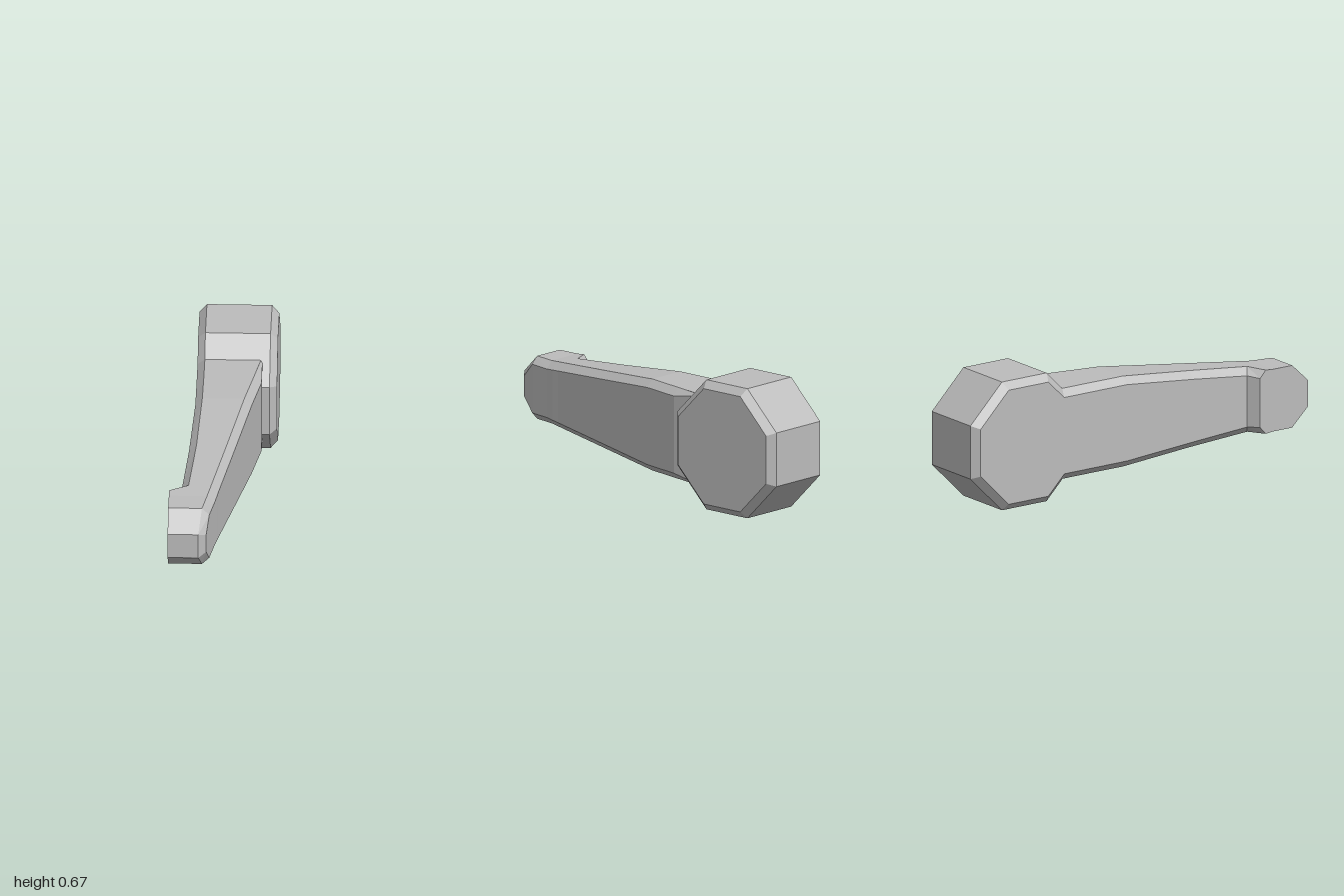
import * as THREE from 'three';

const MID = 0.337; // height of the horizontal mirror plane

// Arm stations from tip to hub. Each lists the upper half of a section as
// [x, z, half height]: inner face, inner ridge, outer ridge, outer face.
const STATIONS = [
  [[-0.257, 1, 0.068], [-0.257, 1, 0.068], [-0.103, 1, 0.068], [-0.064, 0.97, 0.05]],
  [[-0.257, 0.9, 0.163], [-0.257, 0.9, 0.163], [-0.087, 0.9, 0.163], [-0.05, 0.9, 0.126]],
  [[-0.257, 0.78, 0.163], [-0.257, 0.78, 0.163], [-0.065, 0.78, 0.163], [-0.027, 0.78, 0.126]],
  [[-0.257, 0.7, 0.128], [-0.257, 0.735, 0.167], [-0.056, 0.735, 0.167], [-0.018, 0.735, 0.13]],
  [[-0.195, 0.665, 0.134], [-0.16, 0.69, 0.171], [-0.047, 0.69, 0.171], [-0.01, 0.69, 0.134]],
  [[-0.168, 0.35, 0.164], [-0.13, 0.35, 0.201], [0.021, 0.35, 0.201], [0.058, 0.35, 0.164]],
  [[-0.147, -0.05, 0.2], [-0.112, -0.05, 0.237], [0.099, -0.05, 0.237], [0.137, -0.05, 0.2]],
  [[-0.147, -0.27, 0.2], [-0.11, -0.27, 0.237], [0.142, -0.27, 0.237], [0.18, -0.27, 0.2]],
  [[-0.147, -0.47, 0.2], [-0.11, -0.47, 0.237], [0.18, -0.47, 0.237], [0.18, -0.47, 0.236]],
];

// Skins the mirrored stations and closes both ends
function armGeometry() {
  const rings = STATIONS.map((half) => [
    ...half.map(([x, z, h]) => [x, MID + h, z]),
    ...half.map(([x, z, h]) => [x, MID - h, z]).reverse(),
  ]);
  const out = [];
  const quad = (a, b, c, d) => out.push(...a, ...b, ...c, ...a, ...c, ...d);
  for (let s = 0; s < rings.length - 1; s++) {
    for (let i = 0; i < 8; i++) {
      const j = (i + 1) % 8;
      quad(rings[s][i], rings[s][j], rings[s + 1][j], rings[s + 1][i]);
    }
  }
  const tip = rings[0];
  const root = rings[rings.length - 1];
  for (let i = 0; i < 3; i++) {
    quad(tip[7 - i], tip[6 - i], tip[i + 1], tip[i]);
    quad(root[i], root[i + 1], root[6 - i], root[7 - i]);
  }
  const geometry = new THREE.BufferGeometry();
  geometry.setAttribute('position', new THREE.Float32BufferAttribute(out, 3));
  geometry.computeVertexNormals();
  return geometry;
}

// Octagonal drum lying along x, chamfered at both ends
function hubGeometry() {
  const k = Math.cos(Math.PI / 8);
  const profile = [
    [0, -0.147], [0.299, -0.147], [0.336, -0.11],
    [0.336, 0.218], [0.299, 0.255], [0, 0.255],
  ].map(([r, y]) => new THREE.Vector2(r / k, y));
  const geometry = new THREE.LatheGeometry(profile, 8, Math.PI / 8).toNonIndexed();
  geometry.rotateZ(-Math.PI / 2);
  geometry.computeVertexNormals();
  return geometry;
}

export function createModel() {
  const group = new THREE.Group();
  group.name = 'crankArm';
  const grey = new THREE.MeshStandardMaterial({ color: 0xbcbcbc, flatShading: true });
  grey.name = 'plain grey';

  const hub = new THREE.Mesh(hubGeometry(), grey);
  hub.name = 'hub';
  hub.position.set(0, 0.336, -0.664);

  const arm = new THREE.Mesh(armGeometry(), grey);
  arm.name = 'taperedArm';

  group.add(hub, arm);
  return group;
}
